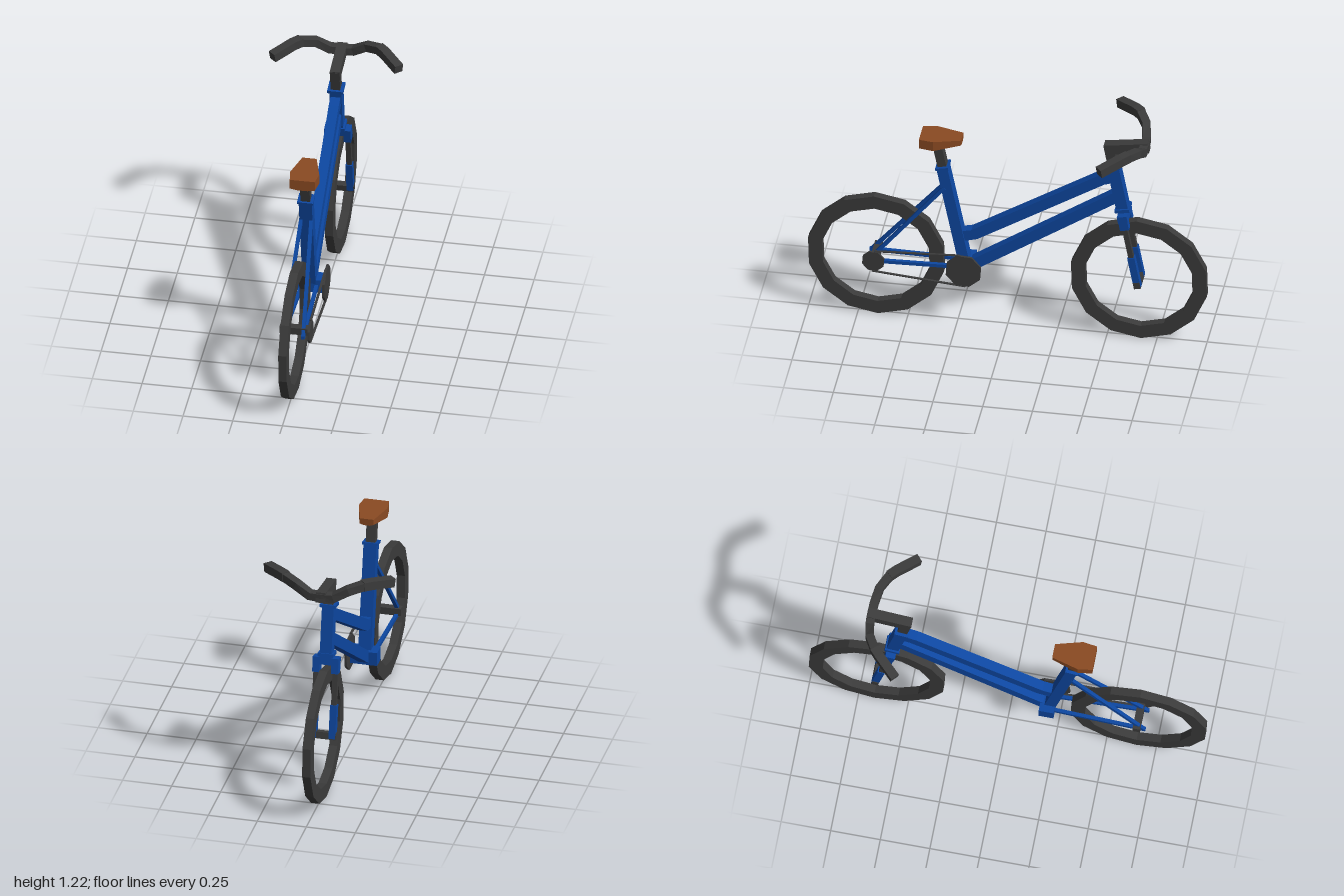
import * as THREE from 'three';

const material = (name, color) => {
  const m = new THREE.MeshStandardMaterial({ color });
  m.name = name;
  return m;
};
const v = (x, y, z) => new THREE.Vector3(x, y, z);

// Skin closed loops of points, counter-clockwise about the travel direction
function loft(loops) {
  const n = loops[0].length, pos = [];
  const tri = (...pts) => pts.forEach((p) => pos.push(p.x, p.y, p.z));
  for (let k = 0; k < loops.length - 1; k++) {
    const a = loops[k], b = loops[k + 1];
    for (let i = 0; i < n; i++) {
      const j = (i + 1) % n;
      tri(a[i], a[j], b[j]);
      tri(a[i], b[j], b[i]);
    }
  }
  const first = loops[0], last = loops[loops.length - 1];
  for (let i = 1; i < n - 1; i++) {
    tri(first[0], first[i + 1], first[i]);
    tri(last[0], last[i], last[i + 1]);
  }
  const g = new THREE.BufferGeometry();
  g.setAttribute('position', new THREE.Float32BufferAttribute(pos, 3));
  g.computeVertexNormals();
  return g;
}

// Rectangular tube along a path; w is measured along ref, h across it
function beam(points, w, h, ref = v(1, 0, 0)) {
  return loft(points.map((p, i) => {
    const next = points[Math.min(i + 1, points.length - 1)];
    const prev = points[Math.max(i - 1, 0)];
    const t = next.clone().sub(prev).normalize();
    const s = ref.clone().addScaledVector(t, -ref.dot(t)).normalize();
    const u = t.clone().cross(s);
    return [[-1, -1], [1, -1], [1, 1], [-1, 1]].map(([a, b]) =>
      p.clone().addScaledVector(s, a * w / 2).addScaledVector(u, b * h / 2));
  }));
}

// Faceted ring with a square section, axle along x
function ring(outer, inner, width, sides) {
  const polygon = (r) => Array.from({ length: sides }, (_, i) => {
    const a = Math.PI / 2 + i / sides * Math.PI * 2 + 0.03;
    return new THREE.Vector2(Math.cos(a) * r, Math.sin(a) * r);
  });
  const shape = new THREE.Shape(polygon(outer));
  shape.holes.push(new THREE.Path(polygon(inner)));
  return new THREE.ExtrudeGeometry(shape, { depth: width, bevelEnabled: false })
    .translate(0, 0, -width / 2).rotateY(Math.PI / 2);
}

// Thin octagonal disc, axle along x
function disc(r, width) {
  const g = new THREE.CylinderGeometry(r, r, width, 8, 1, false, 0.47)
    .rotateZ(Math.PI / 2).toNonIndexed();
  g.computeVertexNormals();
  return g;
}

export function createModel() {
  const blue = material('blue paint', 0x0d47a1);
  const dark = material('dark grey', 0x3b3b3b);
  const brown = material('brown leather', 0x8a4a22);
  const model = new THREE.Group();
  model.name = 'bicycle';

  const add = (name, geometry, mat, parent = model, x = 0, y = 0, z = 0) => {
    const mesh = new THREE.Mesh(geometry, mat);
    mesh.name = name;
    mesh.position.set(x, y, z);
    parent.add(mesh);
    return mesh;
  };
  // Box spanning y0 to y1
  const box = (name, mat, parent, w, y0, y1, d, x = 0, z = 0) =>
    add(name, new THREE.BoxGeometry(w, y1 - y0, d), mat, parent, x, (y0 + y1) / 2, z);
  const tilted = (name, y, z, angle) => {
    const g = new THREE.Group();
    g.name = name;
    g.position.set(0, y, z);
    g.rotation.x = angle;
    model.add(g);
    return g;
  };

  // Wheels
  add('rearWheel', ring(0.347, 0.275, 0.042, 14), dark, model, 0, 0.346, 0.66);
  add('frontWheel', ring(0.347, 0.275, 0.042, 14), dark, model, 0, 0.346, -0.66);

  // Frame tubes
  add('topTube', beam([v(0, 0.507, 0.235), v(0, 0.525, 0.165), v(0, 0.922, -0.473),
    v(0, 0.947, -0.55)], 0.05, 0.058), blue);
  add('downTube', beam([v(0, 0.325, 0.2), v(0, 0.832, -0.555)], 0.05, 0.058), blue);
  box('bottomBracket', blue, model, 0.138, 0.3, 0.372, 0.075, 0, 0.205);

  // Seat tube and post
  const seat = tilted('seatTubeAssembly', 0.33, 0.21, 0.2);
  box('seatTube', blue, seat, 0.066, 0, 0.59, 0.056);
  box('seatCollar', blue, seat, 0.08, 0.58, 0.593, 0.066);
  box('seatPost', dark, seat, 0.048, 0.58, 0.735, 0.045);

  // Saddle: rear, widest part and nose
  add('saddle', loft([
    [0.437, 0.063, 1.035, 0.025, 1.028],
    [0.365, 0.073, 1.033, 0.025, 1.02],
    [0.23, 0.036, 1.057, 0.015, 1.05],
  ].map(([z, w, side, b, low]) => [v(-w, 1.086, z), v(w, 1.086, z), v(w, side, z),
    v(b, low, z), v(-b, low, z), v(-w, side, z)])), brown);

  // Rear stays
  for (const s of [1, -1]) {
    add('seatStay', beam([v(s * 0.025, 0.79, 0.315), v(s * 0.05, 0.33, 0.695)], 0.018, 0.018), blue);
    add('chainStay', beam([v(s * 0.036, 0.335, 0.22), v(s * 0.05, 0.332, 0.703)], 0.018, 0.018), blue);
  }
  box('rearAxle', dark, model, 0.144, 0.332, 0.37, 0.038, 0, 0.66);

  // Drive
  add('chainring', disc(0.093, 0.012), dark, model, 0.081, 0.341, 0.21);
  add('crankAxle', disc(0.025, 0.03), dark, model, 0.072, 0.341, 0.21);
  add('rearSprocket', disc(0.058, 0.012), dark, model, 0.081, 0.35, 0.663);
  add('chainTop', beam([v(0.081, 0.408, 0.655), v(0.081, 0.43, 0.23)], 0.012, 0.005), dark);
  add('chainBottom', beam([v(0.081, 0.291, 0.67), v(0.081, 0.25, 0.2)], 0.012, 0.005), dark);

  // Head tube and fork
  const fork = tilted('forkAssembly', 1.01, -0.53, 0.188);
  box('headTube', blue, fork, 0.06, -0.275, 0, 0.06);
  box('upperHeadCollar', blue, fork, 0.08, -0.012, 0.004, 0.074);
  box('lowerHeadCollar', blue, fork, 0.08, -0.268, -0.25, 0.074);
  box('forkCrown', blue, fork, 0.132, -0.312, -0.275, 0.05);
  for (const s of [1, -1]) {
    box('crownEnd', blue, fork, 0.036, -0.355, -0.275, 0.046, s * 0.048);
    box('forkStanchion', dark, fork, 0.026, -0.54, -0.33, 0.026, s * 0.049);
    box('forkLowerLeg', blue, fork, 0.034, -0.695, -0.52, 0.036, s * 0.049);
  }
  box('frontAxle', dark, fork, 0.138, -0.7, -0.665, 0.034);

  // Stem
  box('steerer', dark, fork, 0.048, 0, 0.12, 0.05);
  add('stem', beam([v(0, 1.102, -0.488), v(0, 1.136, -0.708)], 0.05, 0.054), dark);

  // Handlebar and grips
  const up = v(0, 1, 0);
  const half = [v(0.06, 1.135, -0.686), v(0.13, 1.175, -0.672), v(0.205, 1.193, -0.63)];
  const mirrored = half.map((p) => v(-p.x, p.y, p.z)).reverse();
  add('handlebar', beam([...mirrored, v(0, 1.132, -0.688), ...half], 0.042, 0.042, up), dark);
  for (const s of [1, -1]) {
    add('grip', beam([v(s * 0.195, 1.193, -0.637), v(s * 0.23, 1.19, -0.605),
      v(s * 0.318, 1.167, -0.51)], 0.046, 0.046, up), dark);
  }
  return model;
}
